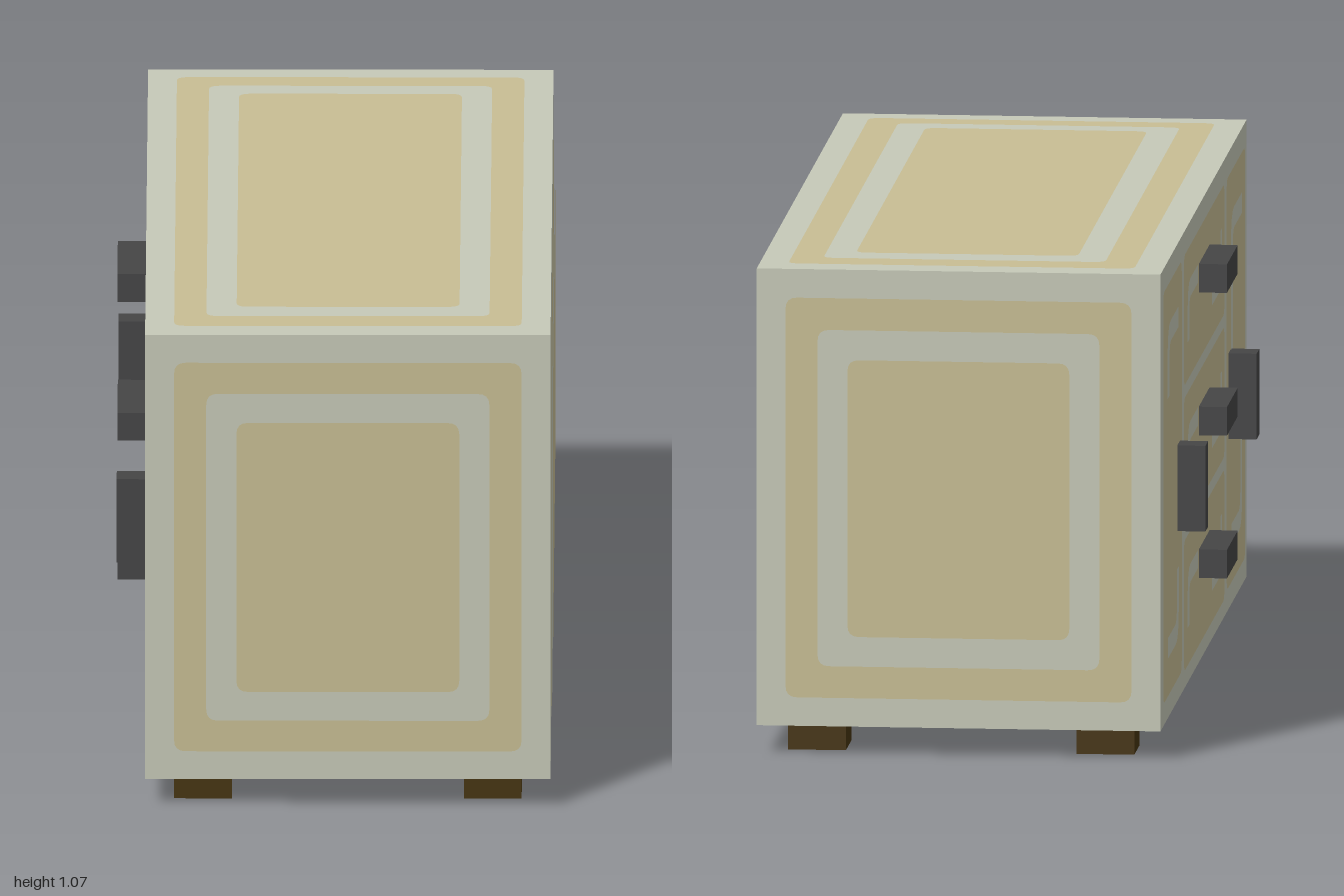
import * as THREE from 'three';

const W = 0.875, H = 1, L = 2, FOOT = 0.0625;
const CX = 0.03125, CY = FOOT + H / 2; // centre of the cabinet body

export function createModel() {
  const mat = (name, color) => Object.assign(new THREE.MeshStandardMaterial({ color }), { name });
  const pale = mat('pale grey', 0xc6c9b8);
  const tan = mat('tan', 0xc8be94);
  const iron = mat('dark iron', 0x454546);
  const brown = mat('dark brown', 0x46340f);

  const model = new THREE.Group();
  model.name = 'sideboard';

  const box = (name, w, h, d, x, y, z, material) => {
    const mesh = new THREE.Mesh(new THREE.BoxGeometry(w, h, d), material);
    mesh.name = name;
    mesh.position.set(x, y, z);
    model.add(mesh);
  };

  // Painted flat shape, lifted a hair off its face
  const paint = (face, name, shape, layer, material) => {
    const mesh = new THREE.Mesh(new THREE.ShapeGeometry(shape, 4), material);
    mesh.name = name;
    mesh.position.z = layer * 0.0015;
    face.add(mesh);
  };

  const roundRect = (x0, y0, x1, y1, r) => {
    const s = new THREE.Shape();
    s.moveTo(x0 + r, y0);
    s.lineTo(x1 - r, y0);
    s.quadraticCurveTo(x1, y0, x1, y0 + r);
    s.lineTo(x1, y1 - r);
    s.quadraticCurveTo(x1, y1, x1 - r, y1);
    s.lineTo(x0 + r, y1);
    s.quadraticCurveTo(x0, y1, x0, y1 - r);
    s.lineTo(x0, y0 + r);
    s.quadraticCurveTo(x0, y0, x0 + r, y0);
    return s;
  };

  // Rounded hook: an upright of length a and an arm of length b meeting at a corner (x, y)
  const hook = (x, y, a, b, dir, w) => {
    const s = new THREE.Shape();
    const p = (u, v) => [x + dir * u, y - dir * v];
    s.moveTo(...p(0, a));
    s.lineTo(...p(w, a));
    s.lineTo(...p(w, w * 1.8));
    s.quadraticCurveTo(...p(w, w), ...p(w * 1.8, w));
    s.lineTo(...p(b, w));
    s.lineTo(...p(b, 0));
    s.lineTo(...p(w * 1.6, 0));
    s.quadraticCurveTo(...p(0, 0), ...p(0, w * 1.6));
    return s;
  };

  // A plane on the body whose local +z points outwards
  const addFace = (name, x, y, z, rx, ry) => {
    const face = new THREE.Group();
    face.name = name;
    face.position.set(CX + x, CY + y, z);
    face.rotation.set(rx, ry, 0);
    model.add(face);
    return face;
  };

  // Cabinet body
  box('body', W, H, L, CX, CY, 0, pale);

  // Nested frames on the plain faces
  const q = Math.PI / 2;
  [
    ['frontPanel', 0, 0, L / 2, 0, 0, W, H],
    ['backPanel', 0, 0, -L / 2, 0, 2 * q, W, H],
    ['leftPanel', W / 2, 0, 0, 0, q, L, H],
    ['topPanel', 0, H / 2, 0, -q, 0, W, L],
    ['bottomPanel', 0, -H / 2, 0, q, 0, W, L],
  ].forEach(([name, x, y, z, rx, ry, w, h]) => {
    const face = addFace(name, x, y, z, rx, ry);
    [0.0625, 0.132, 0.197].forEach((inset, i) => {
      const a = w / 2 - inset, b = h / 2 - inset;
      paint(face, 'frame', roundRect(-a, -b, a, b, 0.025), i + 1, i === 1 ? pale : tan);
    });
  });

  // Door and drawer side, with local x running along +z
  const doors = addFace('doorSide', -W / 2, 0, 0, 0, -q);
  const tile = (name, x0, y0, x1, y1, m, up, arm, w) => {
    paint(doors, name, roundRect(x0, y0, x1, y1, 0.03), 1, tan);
    paint(doors, 'hook', hook(x0 + m, y1 - m, up, arm, 1, w), 2, pale);
    paint(doors, 'hook', hook(x1 - m, y0 + m, up, arm, -1, w), 2, pale);
  };
  tile('door', -0.95, -0.45, -0.52, 0.45, 0.085, 0.16, 0.25, 0.045);
  tile('door', 0.52, -0.45, 0.95, 0.45, 0.085, 0.32, 0.25, 0.045);
  for (let i = 0; i < 3; i++) {
    const y = -0.46 + i * 0.3125;
    tile('drawer', -0.47, y, 0.47, y + 0.285, 0.07, 0.13, 0.24, 0.04);
  }

  // Handles
  const hx = -W / 2 + CX - 0.03125;
  for (let i = 0; i < 3; i++) {
    box('drawerHandle', 0.0625, 0.0625, 0.25, hx, 0.28125 + i * 0.3125, 0, iron);
  }
  for (const s of [-1, 1]) {
    box('doorHandle', 0.0625, 0.1875, 0.0625, hx, 0.53125, s * 0.59375, iron);
  }

  // Feet, with pale wood undersides
  const footMats = [brown, brown, brown, tan, brown, brown];
  for (const sx of [-1, 1]) {
    for (const sz of [-1, 1]) {
      box('foot', 0.125, FOOT, 0.125, CX + sx * 0.3125, FOOT / 2, sz * 0.875, footMats);
    }
  }

  return model;
}
